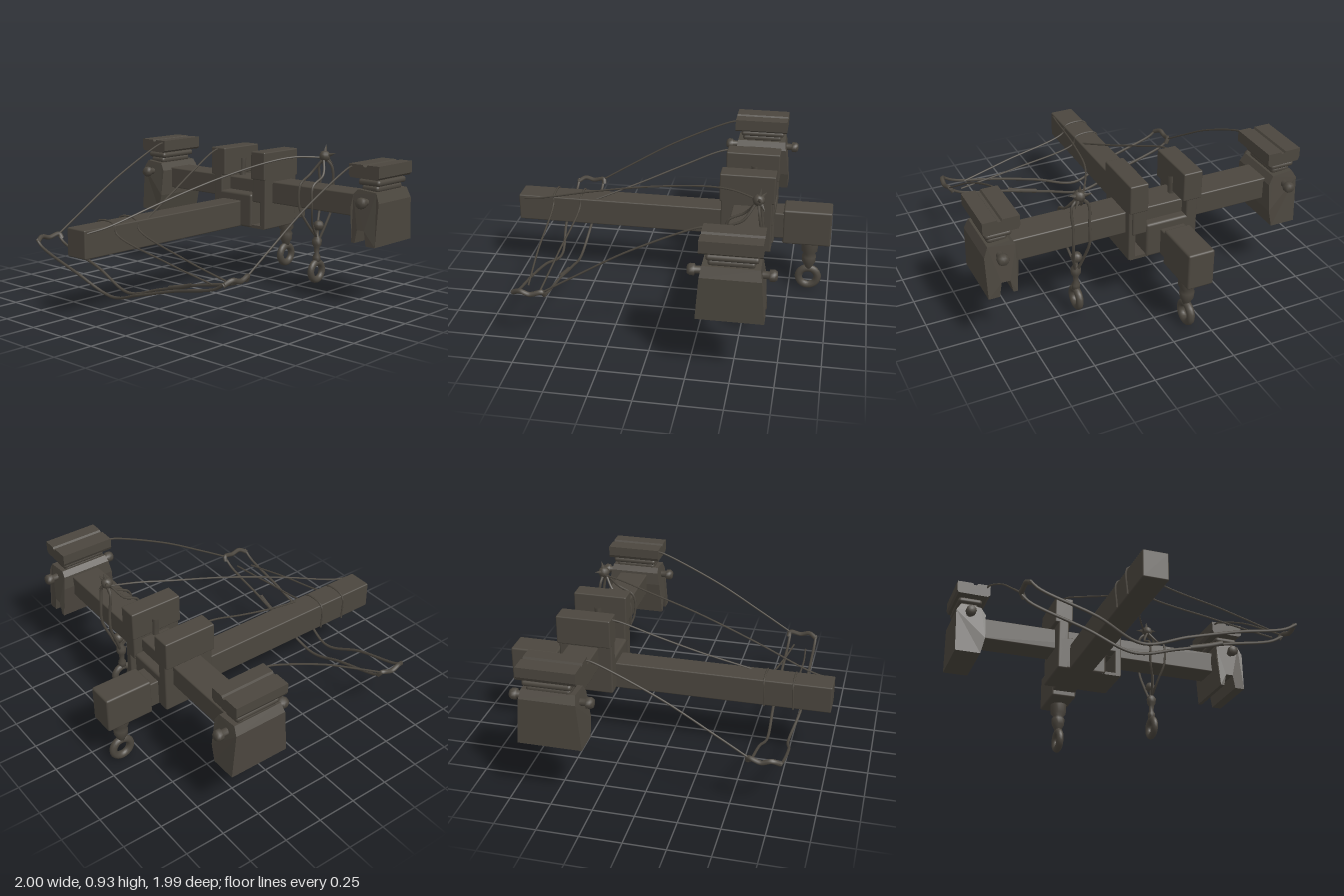
import * as THREE from 'three';
import { RoundedBoxGeometry } from 'three/addons/geometries/RoundedBoxGeometry.js';

const wood = new THREE.MeshStandardMaterial({ color: 0x4b463e });
wood.name = 'dark wood';

export function createModel() {
  const root = new THREE.Group();
  root.name = 'woodenCrane';

  const add = (name, geo, parent = root) => {
    const m = new THREE.Mesh(geo, wood);
    m.name = name;
    parent.add(m);
    return m;
  };
  // Box from min and max corners, optionally rounded
  const box = (name, [x0, x1], [y0, y1], [z0, z1], parent, r = 0) => {
    const s = [x1 - x0, y1 - y0, z1 - z0];
    const m = add(name, r ? new RoundedBoxGeometry(...s, 2, r) : new THREE.BoxGeometry(...s), parent);
    m.position.set((x0 + x1) / 2, (y0 + y1) / 2, (z0 + z1) / 2);
    return m;
  };
  const rope = (name, pts, r = 0.006, parent = root, closed = false) => {
    const curve = new THREE.CatmullRomCurve3(pts.map(p => new THREE.Vector3(...p)), closed, 'centripetal');
    return add(name, new THREE.TubeGeometry(curve, pts.length * 8, r, 6, closed), parent);
  };
  const lathe = (name, pts, pos, parent, sides = 14) => {
    const m = add(name, new THREE.LatheGeometry(pts.map(p => new THREE.Vector2(...p)), sides), parent);
    m.position.set(...pos);
    return m;
  };
  // Extrude a (z, y) outline along x, between x0 and x1
  const extrudeX = (name, outline, x0, x1, parent) => {
    const shape = new THREE.Shape(outline.map(([z, y]) => new THREE.Vector2(-z, y)));
    const g = new THREE.ExtrudeGeometry(shape, { depth: x1 - x0, bevelEnabled: false });
    g.rotateY(Math.PI / 2);
    g.translate(x0, 0, 0);
    return add(name, g, parent);
  };

  // Beams
  box('mainBeam', [-1, 0.72], [0.38, 0.55], [-0.235, -0.08], root, 0.008);
  box('beamEndBlock', [0.7, 1], [0.345, 0.575], [-0.24, -0.075], root, 0.012);
  box('crossBeam', [0.405, 0.595], [0.545, 0.685], [-0.82, 0.82], root, 0.008);

  // Central saddle with two uprights
  const saddle = new THREE.Group();
  saddle.name = 'saddle';
  root.add(saddle);
  box('saddleBlock', [0.32, 0.65], [0.38, 0.6], [-0.31, 0.01], saddle, 0.015);
  box('frontPlate', [0.33, 0.64], [0.38, 0.75], [0.075, 0.12], saddle, 0.008);
  box('frontFoot', [0.33, 0.64], [0.38, 0.4], [-0.01, 0.11], saddle);
  box('frontShoulder', [0.33, 0.65], [0.55, 0.72], [0.01, 0.1], saddle, 0.01);
  box('frontHead', [0.32, 0.655], [0.7, 0.88], [0.005, 0.12], saddle, 0.008);
  box('backPlate', [0.32, 0.65], [0.38, 0.72], [-0.315, -0.245], saddle, 0.01);
  box('backHead', [0.32, 0.655], [0.7, 0.88], [-0.34, -0.22], saddle, 0.008);
  rope('saddleRod', [[0.5, 0.8, 0.0], [0.5, 0.66, 0.0], [0.5, 0.595, -0.04], [0.5, 0.595, -0.18],
    [0.5, 0.66, -0.22], [0.5, 0.8, -0.22]], 0.022, saddle);

  // End blocks: body, side knobs, necks and grooved cap
  for (const s of [1, -1]) {
    const end = new THREE.Group();
    end.name = s > 0 ? 'frontEndBlock' : 'backEndBlock';
    root.add(end);
    const outline = s > 0
      ? [[0.99, 0.4], [0.925, 0.4], [0.91, 0.49], [0.86, 0.49], [0.845, 0.41], [0.82, 0.41], [0.8, 0.62], [0.81, 0.7], [0.84, 0.73], [0.97, 0.72], [0.995, 0.66]]
      : [[-0.985, 0.39], [-0.825, 0.39], [-0.8, 0.5], [-0.8, 0.67], [-0.83, 0.72], [-0.96, 0.73], [-0.99, 0.68]];
    const body = extrudeX('body', s > 0 ? outline.reverse() : outline, 0.3, 0.68, end);
    // Narrow the shoulders towards the top
    const p = body.geometry.attributes.position;
    for (let i = 0; i < p.count; i++) {
      const k = 1 - 0.9 * Math.max(0, p.getY(i) - 0.54);
      p.setX(i, 0.49 + (p.getX(i) - 0.49) * k);
    }
    body.geometry.computeVertexNormals();
    for (const side of [1, -1]) {
      const knob = lathe('knob', [[0.022, 0], [0.022, 0.06], [0.034, 0.065], [0.034, 0.09], [0.024, 0.105], [0, 0.107]],
        [0.49 + side * 0.14, 0.66, s * 0.905], end, 10);
      knob.rotation.z = -side * Math.PI / 2;
    }
    box('lowerNeck', [0.36, 0.62], [0.715, 0.755], [s > 0 ? 0.84 : -0.96, s > 0 ? 0.96 : -0.84], end, 0.018);
    box('upperNeck', [0.35, 0.64], [0.752, 0.79], [s > 0 ? 0.82 : -0.975, s > 0 ? 0.975 : -0.82], end, 0.018);
    box('neckCore', [0.38, 0.6], [0.7, 0.83], [s > 0 ? 0.86 : -0.94, s > 0 ? 0.94 : -0.86], end);
    const z0 = s > 0 ? 0.78 : -0.995;
    extrudeX('cap', [[z0 + 0.01, 0.8], [z0, 0.82], [z0, 0.88], [z0 + 0.1, 0.88], [z0 + 0.107, 0.868],
      [z0 + 0.125, 0.868], [z0 + 0.132, 0.88], [z0 + 0.215, 0.88], [z0 + 0.215, 0.81], [z0 + 0.2, 0.797]].reverse(),
      0.315, 0.66, end);
  }

  // Ring under the beam end
  const bigHook = new THREE.Group();
  bigHook.name = 'beamEndRing';
  root.add(bigHook);
  lathe('stem', [[0, -0.01], [0.022, 0], [0.026, 0.02], [0.042, 0.05], [0.045, 0.09], [0.035, 0.11], [0.052, 0.13], [0.055, 0.2]],
    [0.872, 0.15, -0.145], bigHook);
  add('ring', new THREE.TorusGeometry(0.06, 0.024, 10, 24), bigHook).position.set(0.872, 0.09, -0.145);

  // Ring hung from the cross beam by a knotted loop
  const hung = new THREE.Group();
  hung.name = 'hangingRing';
  root.add(hung);
  add('ring', new THREE.TorusGeometry(0.057, 0.022, 10, 24), hung).position.set(0.515, 0.125, 0.4);
  lathe('stem', [[0, -0.02], [0.024, 0], [0.026, 0.03], [0.015, 0.05], [0.018, 0.09], [0.03, 0.11], [0.032, 0.14], [0.014, 0.165], [0.012, 0.2]],
    [0.515, 0.19, 0.4], hung, 10);
  for (const s of [1, -1]) {
    const z = 0.4 + s * 0.05;
    rope('loopStrand', [[0.515, 0.3, 0.4], [0.56, 0.42, 0.4 + s * 0.03], [0.606, 0.55, z], [0.606, 0.67, z], [0.59, 0.8, z], [0.58, 0.85, 0.4]], 0.009, hung);
    rope('backStrand', [[0.515, 0.34, 0.4], [0.44, 0.44, 0.4 + s * 0.02], [0.394, 0.55, z], [0.4, 0.69, z], [0.5, 0.75, z], [0.57, 0.85, 0.4]], 0.008, hung);
  }
  add('lowerKnot', new THREE.SphereGeometry(0.034, 10, 8), hung).position.set(0.53, 0.42, 0.4);
  add('upperKnot', new THREE.SphereGeometry(0.036, 10, 8), hung).position.set(0.58, 0.86, 0.4);
  for (let i = 0; i < 5; i++) {
    const a = Math.PI / 2 + i * Math.PI * 0.4;
    const tail = add('knotTail', new THREE.ConeGeometry(0.018, 0.07, 6), hung);
    const dir = new THREE.Vector3(i % 2 ? 0.6 : 0.2, Math.sin(a), Math.cos(a)).normalize();
    tail.position.set(0.58, 0.86, 0.4).addScaledVector(dir, 0.045);
    tail.quaternion.setFromUnitVectors(new THREE.Vector3(0, 1, 0), dir);
  }

  // Stay ropes along the main beam
  rope('knotStay', [[0.58, 0.85, 0.38], [0.42, 0.86, 0.29], [0.25, 0.84, 0.22], [-0.1, 0.77, 0.13], [-0.5, 0.66, 0.03], [-0.85, 0.55, -0.06], [-0.98, 0.53, -0.085]]);
  rope('saddleStay', [[0.4, 0.87, -0.29], [0.3, 0.865, -0.285], [0.05, 0.765, -0.24], [-0.2, 0.66, -0.18], [-0.5, 0.545, -0.1]]);

  // Side ropes ending in lashed corners
  for (const s of [1, -1]) {
    const z = s * 0.8;
    rope('sideRope', [[0.33, 0.865, z], [0.29, 0.86, z], [-0.1, 0.68, z], [-0.4, 0.5, z], [-0.6, 0.375, z]]);
    rope('cornerLashing', [[-0.6, 0.34, s * 0.78], [-0.61, 0.37, z], [-0.68, 0.355, s * 0.812], [-0.74, 0.37, s * 0.808], [-0.79, 0.345, s * 0.785]], 0.015);
  }

  // Sagging strands between the corners, and their ties to the beam
  for (const [x, xMid, tieX, tieZ] of [[-0.785, -0.75, -0.735, 0.66], [-0.61, -0.62, -0.65, 0.71]]) {
    rope('saggingStrand', [[x, 0.36, -0.8], [x, 0.32, -0.75], [x, 0.21, -0.42], [xMid, 0.105, -0.145],
      [x, 0.17, 0.12], [x, 0.25, 0.42], [x, 0.315, 0.72], [x, 0.36, 0.8]], 0.009);
    rope('beamTie', [[x + 0.01, 0.38, -0.24], [x + 0.015, 0.55, -0.235], [x + 0.015, 0.553, -0.09],
      [x + 0.015, 0.5, -0.07], [(x + tieX) / 2, 0.39, 0.35], [tieX, 0.32, tieZ]]);
  }
  // Splice on the inner strand
  rope('splice', [[-0.61, 0.195, 0.2], [-0.615, 0.225, 0.32], [-0.62, 0.25, 0.4]], 0.014);

  return root;
}
